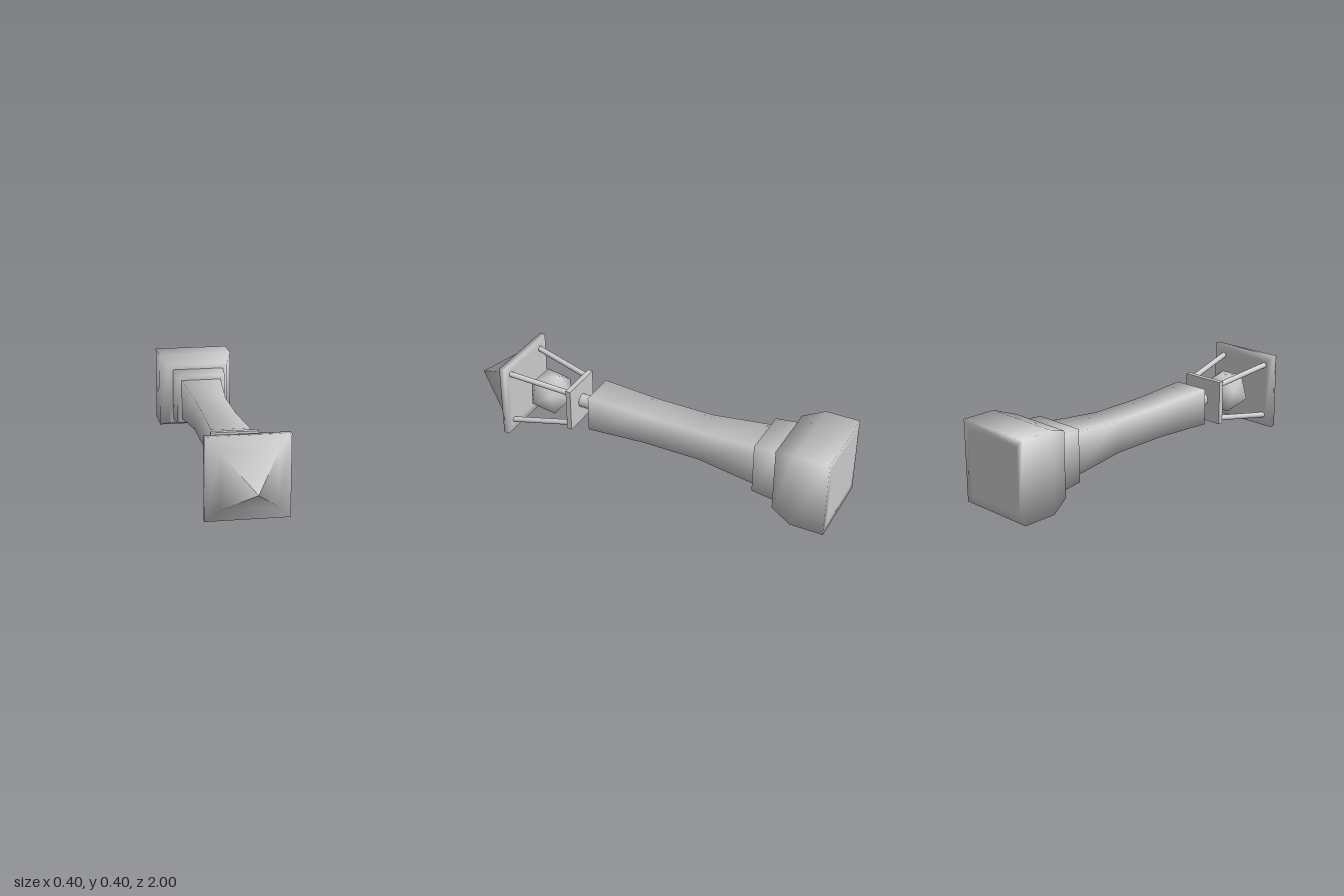
import * as THREE from 'three';
import { mergeVertices } from 'three/addons/utils/BufferGeometryUtils.js';

const material = new THREE.MeshStandardMaterial({ color: 0xcccccc });

export function createModel() {
  const tower = new THREE.Group();
  tower.name = 'lanternTower';
  tower.position.y = 0.2; // the tower lies along z, with its axis at half its height

  const add = (name, geometry) => {
    const mesh = new THREE.Mesh(geometry, material);
    mesh.name = name;
    tower.add(mesh);
    return mesh;
  };

  // Smooth-shaded square section running along z; rows are [z, half width]
  const square = (name, rows) => {
    const [z0, h0] = rows[0];
    const [z1, h1] = rows[rows.length - 1];
    const profile = [[z0, 0], [z0, h0 * 0.8], ...rows];
    if (h1 > 0) profile.push([z1, h1 * 0.8], [z1, 0]);
    const points = profile.map(([z, h]) => new THREE.Vector2(h * Math.SQRT2, z));
    return add(name, new THREE.LatheGeometry(points, 4, Math.PI / 4).rotateX(Math.PI / 2));
  };

  // Masonry: foot, collar and waisted shaft
  square('foot', [[-1, 0.2], [-0.83, 0.2], [-0.725, 0.163]]);
  square('collar', [[-0.74, 0.14], [-0.605, 0.13]]);
  square('shaft', [[-0.62, 0.108], [-0.3, 0.082], [0, 0.082], [0.31, 0.094]]);

  // Lantern floor on its neck
  add('neck', new THREE.CylinderGeometry(0.035, 0.035, 0.11, 24).rotateX(Math.PI / 2)).position.z = 0.35;
  add('lanternFloor', new THREE.BoxGeometry(0.226, 0.226, 0.026)).position.z = 0.413;

  // Faceted lamp with a corner pointing along the axis
  const lamp = new THREE.IcosahedronGeometry(0.12, 0);
  lamp.rotateX(Math.atan(2 / (1 + Math.sqrt(5))));
  lamp.deleteAttribute('normal');
  lamp.deleteAttribute('uv');
  const smoothLamp = mergeVertices(lamp, 1e-4);
  smoothLamp.computeVertexNormals();
  add('lamp', smoothLamp).position.z = 0.582;

  // Four rods splaying out from the floor to the roof
  for (const sx of [-1, 1]) {
    for (const sy of [-1, 1]) {
      const start = new THREE.Vector3(sx * 0.088, sy * 0.088, 0.415);
      const end = new THREE.Vector3(sx * 0.14, sy * 0.14, 0.74);
      add('rod', new THREE.TubeGeometry(new THREE.LineCurve3(start, end), 1, 0.014, 16));
    }
  }

  // Pointed roof with a flared rim
  square('roof', [[0.73, 0.195], [0.76, 0.195], [0.795, 0.132], [1, 0]]);

  const model = new THREE.Group();
  model.name = 'model';
  model.add(tower);
  return model;
}
